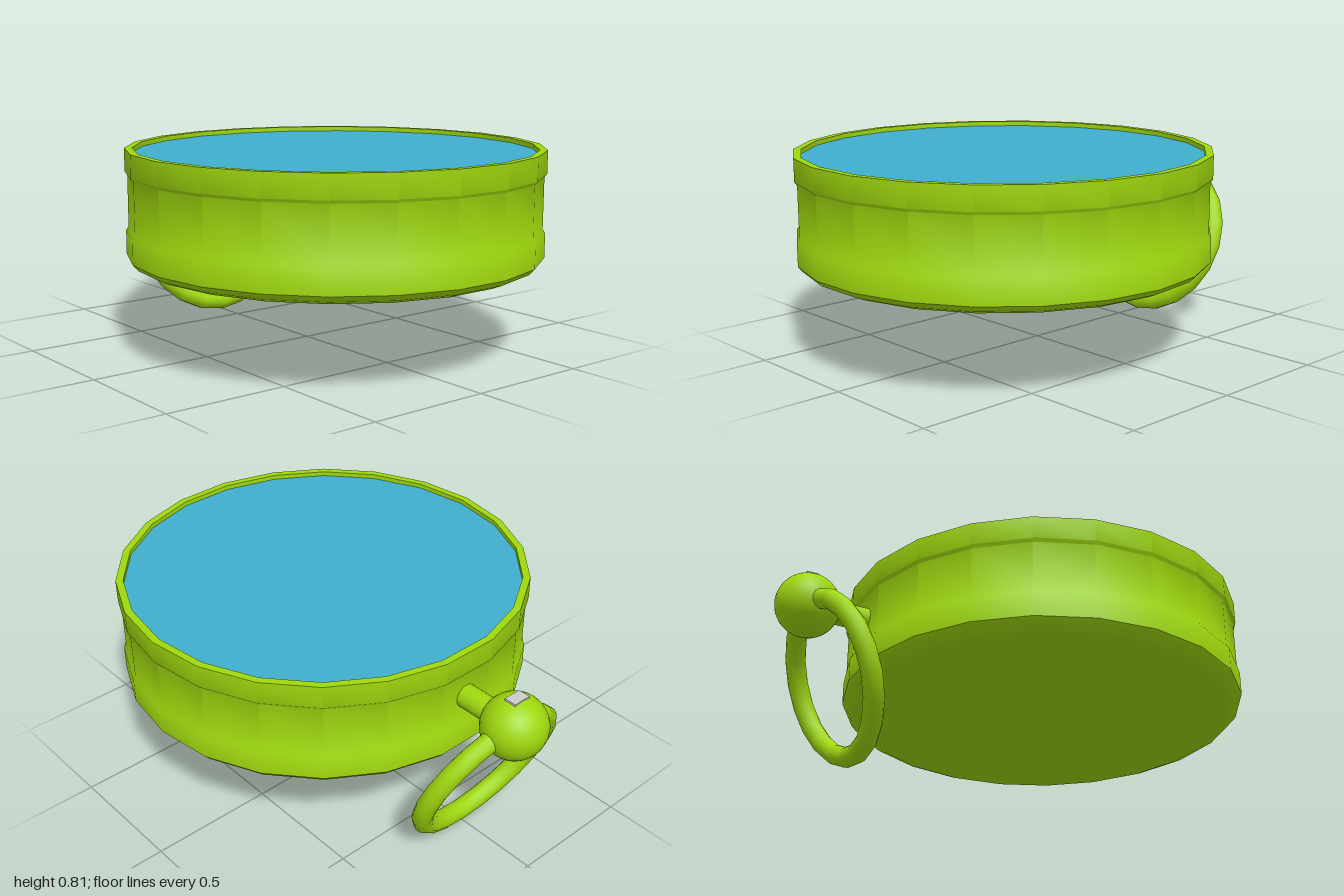
import * as THREE from 'three';
import { toCreasedNormals } from 'three/addons/utils/BufferGeometryUtils.js';

const SIDES = 22;
const CASE_Z = 0.18;
const BALL = { y: 0.61, z: -0.87, r: 0.128 };

export function createModel() {
  const model = new THREE.Group();
  const green = new THREE.MeshStandardMaterial({ color: 0x9fd80e });
  const blue = new THREE.MeshStandardMaterial({ color: 0x40aecc });
  const grey = new THREE.MeshStandardMaterial({ color: 0xcccccc });

  function add(name, geometry, material, x, y, z) {
    const mesh = new THREE.Mesh(geometry, material);
    mesh.name = name;
    mesh.position.set(x, y, z);
    model.add(mesh);
    return mesh;
  }

  // Round case: bevelled base, recessed waist, raised rim
  const profile = [
    [0, 0.357], [0.77, 0.357], [0.805, 0.372], [0.825, 0.395],
    [0.825, 0.49], [0.815, 0.507], [0.815, 0.71], [0.825, 0.722],
    [0.825, 0.814], [0.795, 0.814], [0.795, 0.785],
  ].map(([r, y]) => new THREE.Vector2(r, y));
  const body = new THREE.LatheGeometry(profile, SIDES, Math.PI / 2);
  add('case', toCreasedNormals(body, 0.7), green, 0, 0, CASE_Z);

  // Face plate set just below the rim
  const face = new THREE.CircleGeometry(0.797, SIDES);
  face.rotateX(-Math.PI / 2);
  add('face', face, blue, 0, 0.795, CASE_Z);

  // Stem joining the case to the ball
  const stem = new THREE.CylinderGeometry(0.048, 0.048, 0.3, 16);
  stem.rotateX(Math.PI / 2);
  add('stem', stem, green, 0, BALL.y, -0.73);

  // Ball crown with a small inlay on top
  add('crown', new THREE.SphereGeometry(BALL.r, 28, 18), green, 0, BALL.y, BALL.z);
  add('crownInlay', new THREE.BoxGeometry(0.075, 0.01, 0.05), grey, 0, BALL.y + BALL.r - 0.004, BALL.z);

  // Hanging ring, tilted forward under the case
  const ring = add('ring', new THREE.TorusGeometry(0.308, 0.04, 12, 20), green, 0, 0.325, -0.748);
  ring.rotation.x = -0.391;

  return model;
}
